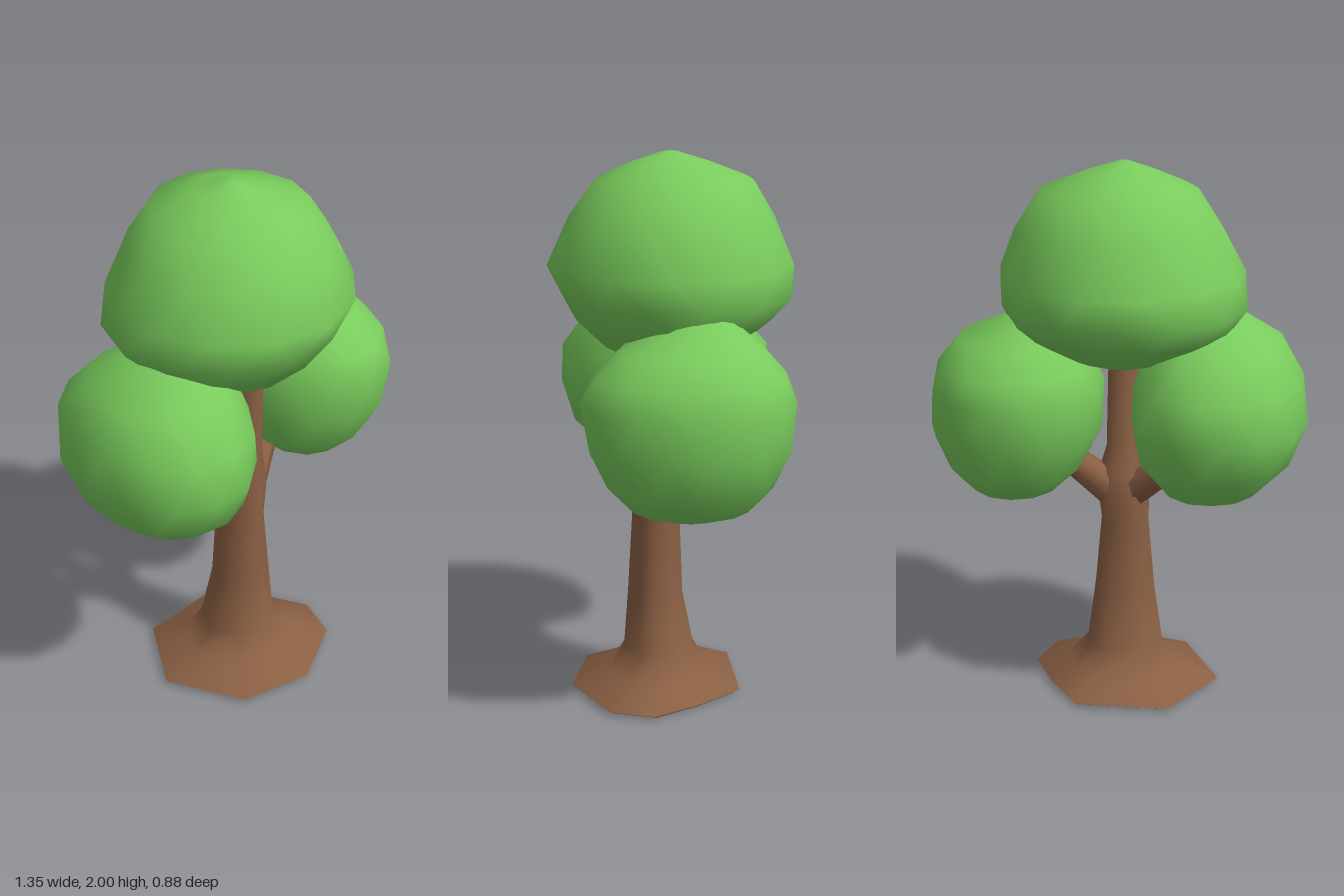
import * as THREE from 'three';

const leafGreen = new THREE.MeshStandardMaterial({ color: 0x79cb5c });
leafGreen.name = 'leafGreen';
const barkBrown = new THREE.MeshStandardMaterial({ color: 0x8b6044 });
barkBrown.name = 'barkBrown';

const evenAngles = (sides) => Array.from({ length: sides }, (_, j) => (j / sides) * 360);

// Closed loft through horizontal rings [y, xMin, xMax, zMin, zMax, bulge], bottom to top.
// A ring's bulge pushes its outline out or in around the corner angle.
function loft(rings, { angles, power = 2, twist = 0, corner = 0 }) {
  const sides = angles.length, rad = Math.PI / 180;
  const pos = [], index = [];
  rings.forEach(([y, x0, x1, z0, z1, bulge = 0], i) => {
    for (const angle of angles) {
      const a = (angle + i * twist) * rad;
      const c = Math.cos(a), s = Math.sin(a);
      const r = (Math.abs(c) ** power + Math.abs(s) ** power) ** (-1 / power)
        * (1 + bulge * Math.max(0, Math.cos(a - corner * rad)) ** 6);
      pos.push((x0 + x1) / 2 + (x1 - x0) / 2 * c * r, y, (z0 + z1) / 2 + (z1 - z0) / 2 * s * r);
    }
  });
  for (let i = 0; i < rings.length - 1; i++) {
    for (let j = 0; j < sides; j++) {
      const k = (j + 1) % sides, a = i * sides, b = a + sides;
      index.push(a + j, b + j, a + k, a + k, b + j, b + k);
    }
  }
  // End caps
  const last = (rings.length - 1) * sides, bottom = pos.length / 3, top = bottom + 1;
  for (const [y, x0, x1, z0, z1] of [rings[0], rings[rings.length - 1]]) {
    pos.push((x0 + x1) / 2, y, (z0 + z1) / 2);
  }
  for (let j = 0; j < sides; j++) {
    const k = (j + 1) % sides;
    index.push(bottom, j, k, top, last + k, last + j);
  }
  const geo = new THREE.BufferGeometry();
  geo.setAttribute('position', new THREE.Float32BufferAttribute(pos, 3));
  geo.setIndex(index);
  geo.computeVertexNormals();
  return geo;
}

// Tapered limb between two points.
function limb(from, to, r0, r1) {
  const a = new THREE.Vector3(...from), b = new THREE.Vector3(...to);
  const dir = b.clone().sub(a);
  const geo = new THREE.CylinderGeometry(r1, r0, dir.length(), 8);
  geo.applyQuaternion(new THREE.Quaternion().setFromUnitVectors(new THREE.Vector3(0, 1, 0), dir.normalize()));
  const mid = a.add(b).multiplyScalar(0.5);
  geo.translate(mid.x, mid.y, mid.z);
  return geo;
}

export function createModel() {
  const tree = new THREE.Group();
  tree.name = 'tree';
  const add = (name, geo, mat) => {
    const mesh = new THREE.Mesh(geo, mat);
    mesh.name = name;
    tree.add(mesh);
  };

  // Trunk with an irregular root skirt; the doubled first ring keeps the base crisp
  const foot = [0, -0.33, 0.34, -0.26, 0.34, -0.2];
  add('trunk', loft([
    foot,
    foot,
    [0.015, -0.37, 0.365, -0.29, 0.38, -0.2],
    [0.07, -0.215, 0.22, -0.15, 0.24, -0.1],
    [0.16, -0.155, 0.135, -0.092, 0.18],
    [0.38, -0.12, 0.107, -0.047, 0.163],
    [0.65, -0.097, 0.082, -0.037, 0.147],
    [0.77, -0.1, 0.097, -0.038, 0.145],
    [0.84, -0.09, 0.09, -0.025, 0.143],
    [0.93, -0.065, 0.065, 0, 0.14],
    [1.26, -0.048, 0.06, 0.035, 0.135],
    [1.4, -0.045, 0.06, 0.035, 0.135],
  ], { angles: [5, 35, 80, 124, 180, 234, 291, 328], corner: 328 }), barkBrown);

  // Side branches reaching into the foliage
  add('leftBranch', limb([0.02, 0.75, 0.055], [0.25, 0.97, -0.05], 0.07, 0.045), barkBrown);
  add('rightBranch', limb([-0.025, 0.76, 0.055], [-0.29, 0.98, -0.065], 0.07, 0.043), barkBrown);

  // Foliage masses
  add('topFoliage', loft([
    [1.27, -0.12, 0.12, -0.08, 0.16],
    [1.32, -0.26, 0.23, -0.22, 0.25],
    [1.41, -0.4, 0.38, -0.36, 0.34],
    [1.5, -0.458, 0.415, -0.445, 0.4],
    [1.61, -0.445, 0.436, -0.435, 0.442],
    [1.77, -0.37, 0.37, -0.37, 0.365],
    [1.905, -0.275, 0.28, -0.29, 0.27],
    [1.965, -0.13, 0.115, -0.135, 0.135],
    [2.0, -0.03, 0.01, -0.02, 0.03],
  ], { angles: evenAngles(13), power: 1.94, twist: 14 }), leafGreen);

  add('rightFoliage', loft([
    [0.8, -0.43, -0.22, -0.1, 0.12],
    [0.825, -0.51, -0.18, -0.2, 0.22, 0.1],
    [0.94, -0.625, -0.1, -0.31, 0.36, 0.14],
    [1.08, -0.678, -0.063, -0.36, 0.412, 0.14],
    [1.24, -0.655, -0.068, -0.365, 0.402, 0.1],
    [1.37, -0.585, -0.1, -0.25, 0.3],
    [1.44, -0.47, -0.13, -0.13, 0.22],
    [1.49, -0.38, -0.18, -0.03, 0.15],
  ], { angles: evenAngles(13), power: 2.15, twist: 14, corner: -45 }), leafGreen);

  add('leftFoliage', loft([
    [0.8, 0.26, 0.49, -0.16, 0.05],
    [0.82, 0.21, 0.53, -0.26, 0.15],
    [0.9, 0.13, 0.61, -0.34, 0.23, 0.03],
    [1.05, 0.055, 0.676, -0.408, 0.305, -0.05],
    [1.2, 0.045, 0.665, -0.418, 0.325, -0.12],
    [1.29, 0.08, 0.645, -0.385, 0.285, -0.1],
    [1.38, 0.14, 0.57, -0.31, 0.18],
    [1.44, 0.19, 0.43, -0.23, 0.05],
    [1.51, 0.22, 0.34, -0.16, -0.03],
  ], { angles: evenAngles(13), power: 2.2, twist: 14, corner: 135 }), leafGreen);

  return tree;
}
